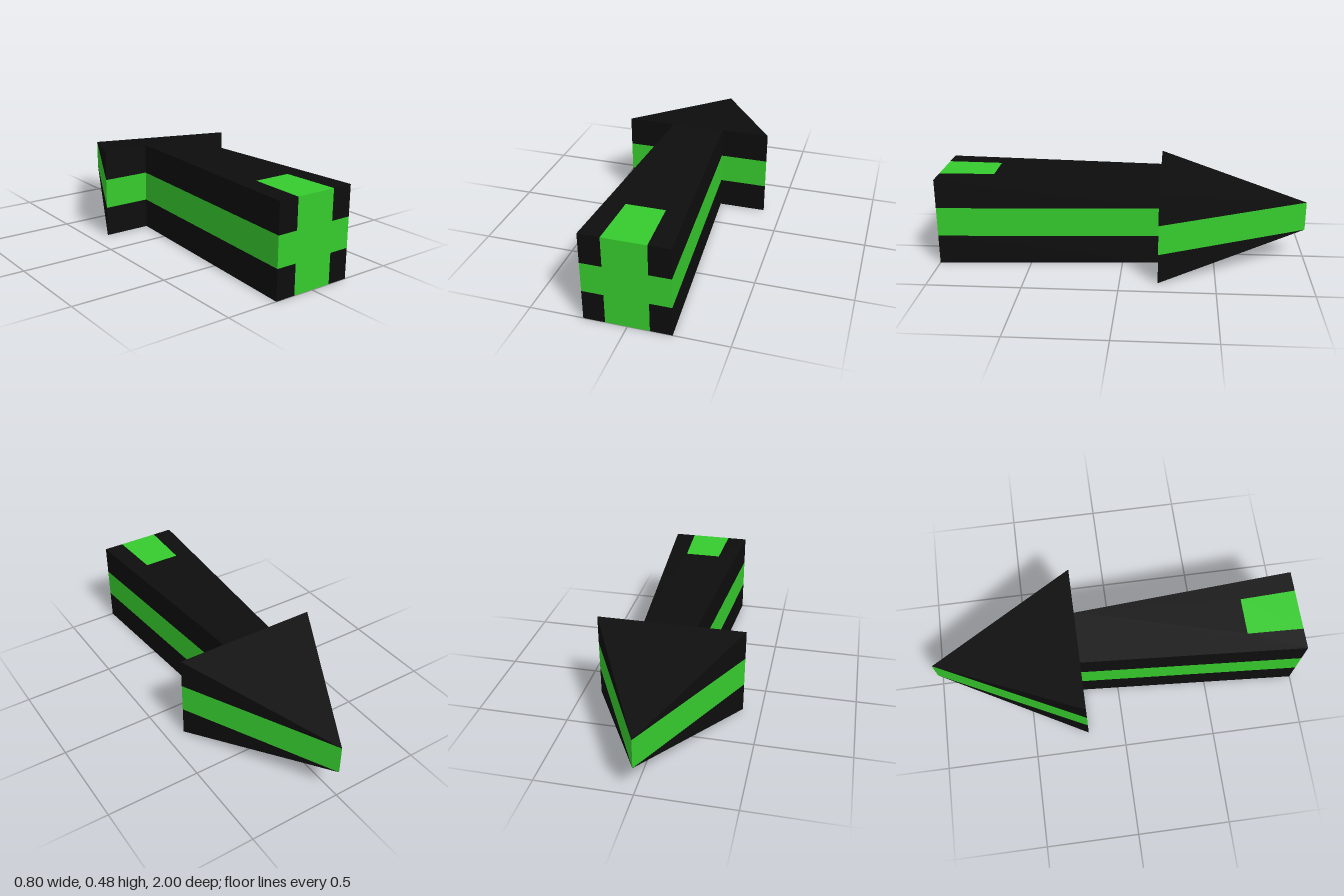
import * as THREE from 'three';
import { ConvexGeometry } from 'three/addons/geometries/ConvexGeometry.js';

const LAYER = 0.16;                 // three equal layers make the full height
const HEAD_Z = -0.2, TIP_Z = -1, TAIL_Z = 1, NOTCH_Z = 0.7;
const HEAD_W = 0.4;
const NECK_W = 0.1425, TAIL_W = 0.2225;        // shaft half widths
const INSET_W = 0.1, INSET_TAIL_W = 0.1115;    // tail inset half widths

export function createModel() {
  const model = new THREE.Group();
  model.name = 'arrow';
  const black = new THREE.MeshStandardMaterial({ color: 0x0d0d0d });
  black.name = 'black';
  const green = new THREE.MeshStandardMaterial({ color: 0x36cb2d });
  green.name = 'green';

  function add(name, geometry, material, y = 0) {
    const mesh = new THREE.Mesh(geometry, material);
    mesh.name = name;
    mesh.position.y = y;
    model.add(mesh);
  }

  // One layer thick slab from a plan outline of [x, z] points
  function slab(plan) {
    const shape = new THREE.Shape(plan.map(([x, z]) => new THREE.Vector2(x, -z)));
    return new THREE.ExtrudeGeometry(shape, { depth: LAYER, bevelEnabled: false })
      .rotateX(-Math.PI / 2);
  }

  const shaftPlan = [[-TAIL_W, TAIL_Z], [TAIL_W, TAIL_Z], [NECK_W, HEAD_Z], [-NECK_W, HEAD_Z]];
  const insetPlan = [[-INSET_TAIL_W, TAIL_Z], [INSET_TAIL_W, TAIL_Z], [INSET_W, NOTCH_Z], [-INSET_W, NOTCH_Z]];
  // Shaft outline with a notch that takes the inset
  const notchedPlan = [
    [-TAIL_W, TAIL_Z], [-INSET_TAIL_W, TAIL_Z], [-INSET_W, NOTCH_Z], [INSET_W, NOTCH_Z],
    [INSET_TAIL_W, TAIL_Z], [TAIL_W, TAIL_Z], [NECK_W, HEAD_Z], [-NECK_W, HEAD_Z],
  ];

  // Green middle layer
  add('shaftBand', slab(shaftPlan), green, LAYER);
  add('headBand', slab([[-HEAD_W, HEAD_Z], [HEAD_W, HEAD_Z], [0, TIP_Z]]), green, LAYER);

  // Black outer layers, with the green tail insets
  for (const [side, y, inner, outer] of [
    ['lower', 0, LAYER, 0],
    ['upper', 2 * LAYER, 2 * LAYER, 3 * LAYER],
  ]) {
    add(side + 'Shaft', slab(notchedPlan), black, y);
    add(side + 'TailInset', slab(insetPlan), green, y);
    // Head wedge slopes down to the tip of the middle layer
    add(side + 'Head', new ConvexGeometry([
      new THREE.Vector3(-HEAD_W, inner, HEAD_Z), new THREE.Vector3(HEAD_W, inner, HEAD_Z),
      new THREE.Vector3(-HEAD_W, outer, HEAD_Z), new THREE.Vector3(HEAD_W, outer, HEAD_Z),
      new THREE.Vector3(0, inner, TIP_Z),
    ]), black);
  }
  return model;
}
